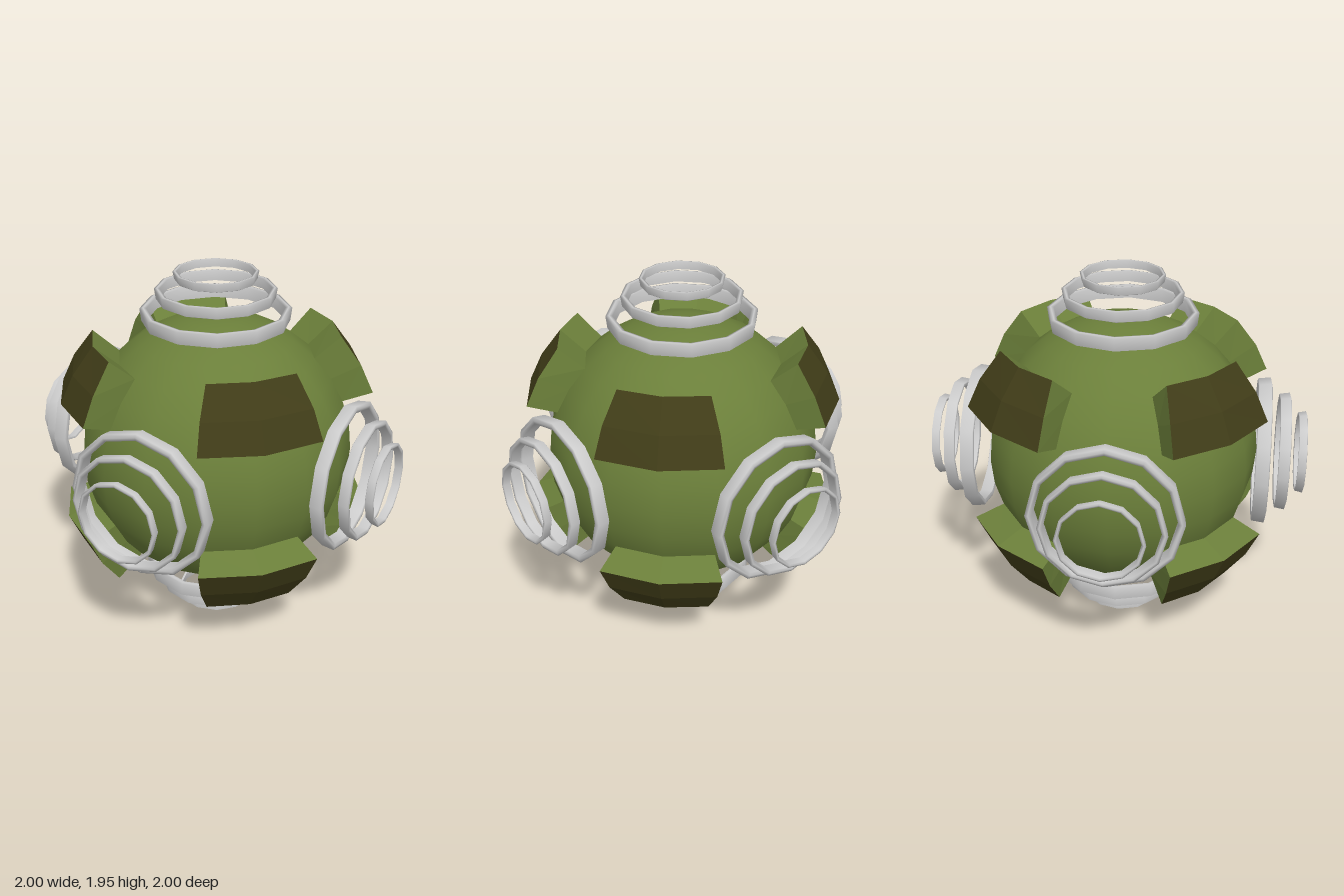
import * as THREE from 'three';

const R = 0.73;
const green = new THREE.MeshStandardMaterial({ color: 0x6b7f3a });
const greenFlat = new THREE.MeshStandardMaterial({ color: 0x6b7f3a, flatShading: true, side: THREE.DoubleSide });
const brown = new THREE.MeshStandardMaterial({ color: 0x403c18, flatShading: true, side: THREE.DoubleSide });
const grey = new THREE.MeshStandardMaterial({ color: 0xcccccc });

function named(name, geometry, material) {
  const mesh = new THREE.Mesh(geometry, material);
  mesh.name = name;
  return mesh;
}

// Non-indexed geometry from quads whose corners run counter-clockwise
function quadGeometry(quads) {
  const pts = quads.flatMap(([a, b, c, d]) => [a, b, c, a, c, d]);
  const geometry = new THREE.BufferGeometry().setFromPoints(pts);
  geometry.computeVertexNormals();
  return geometry;
}

// Raised armour plate: a 2 x 2 patch of the sphere pushed outwards
function createPlate() {
  const point = (r, y, azimuth) =>
    new THREE.Vector3(r * Math.cos(azimuth), y, r * Math.sin(azimuth));
  const deg = THREE.MathUtils.degToRad;
  // radius, height and half angle of the outer rows, bottom to top
  const rows = [[0.83, 0.335, 22.2], [0.76, 0.485, 21.8], [0.65, 0.634, 20.3]];
  const outer = [], inner = [];
  rows.forEach(([r, y, half], i) => {
    const lat = deg(22.5 + 11.25 * i);
    outer.push([-1, 0, 1].map(s => point(r, y, deg(45 + s * half))));
    inner.push([-1, 0, 1].map(s =>
      point(R * Math.cos(lat), R * Math.sin(lat), deg(45 + s * 22.5))));
  });

  const face = [], sides = [];
  for (let i = 0; i < 2; i++) {
    for (let j = 0; j < 2; j++) {
      face.push([outer[i][j], outer[i + 1][j], outer[i + 1][j + 1], outer[i][j + 1]]);
    }
  }
  // rim walks once around the patch border
  const rim = [[0, 0], [0, 1], [0, 2], [1, 2], [2, 2], [2, 1], [2, 0], [1, 0]];
  rim.forEach(([i, j], k) => {
    const [m, n] = rim[(k + 1) % rim.length];
    sides.push([inner[i][j], outer[i][j], outer[m][n], inner[m][n]]);
  });

  const plate = new THREE.Group();
  plate.name = 'armourPlate';
  plate.add(named('plateFace', quadGeometry(face), brown));
  plate.add(named('plateSides', quadGeometry(sides), greenFlat));
  return plate;
}

// Faceted band with a slightly flared wall and ridged rims
function ringGeometry(radius, thick, height) {
  const ridge = height * 0.06;
  const profile = [
    [radius - thick, ridge], [radius - thick / 2, 0], [radius - 0.008, ridge],
    [radius, height - ridge], [radius - thick / 2, height],
    [radius - thick, height - ridge], [radius - thick, ridge],
  ].map(([x, y]) => new THREE.Vector2(x, y));
  return new THREE.LatheGeometry(profile, 12);
}

// Three shrinking rings stacked along +y
function createRingStack(shift) {
  const stack = new THREE.Group();
  stack.name = 'ringStack';
  for (const [name, radius, thick, start, height] of [
    ['largeRing', 0.394, 0.036, 0.73, 0.075],
    ['middleRing', 0.316, 0.028, 0.85, 0.06],
    ['smallRing', 0.22, 0.02, 0.955, 0.045],
  ]) {
    const ring = named(name, ringGeometry(radius, thick, height), grey);
    ring.position.y = start - shift;
    stack.add(ring);
  }
  return stack;
}

export function createModel() {
  const model = new THREE.Group();
  model.name = 'armouredSphere';
  const cy = 0.9725, cz = 0.013;

  // Core
  const core = named('core', new THREE.SphereGeometry(R, 16, 16), green);
  core.position.set(0, cy, cz);
  model.add(core);

  // Eight plates, four above and four below
  const plates = new THREE.Group();
  plates.name = 'plates';
  plates.position.copy(core.position);
  for (const flip of [0, Math.PI]) {
    for (let k = 0; k < 4; k++) {
      const plate = createPlate();
      plate.rotation.set(flip, k * Math.PI / 2, 0);
      plates.add(plate);
    }
  }
  model.add(plates);

  // Ring stacks on all six sides
  const up = new THREE.Vector3(0, 1, 0);
  for (const [x, y, z] of [
    [1, 0, 0], [-1, 0, 0], [0, 1, 0], [0, -1, 0], [0, 0, 1], [0, 0, -1],
  ]) {
    const stack = createRingStack(y ? 0.0275 : 0);
    stack.quaternion.setFromUnitVectors(up, new THREE.Vector3(x, y, z));
    stack.position.set(0, cy, z ? 0 : cz);
    model.add(stack);
  }
  return model;
}
